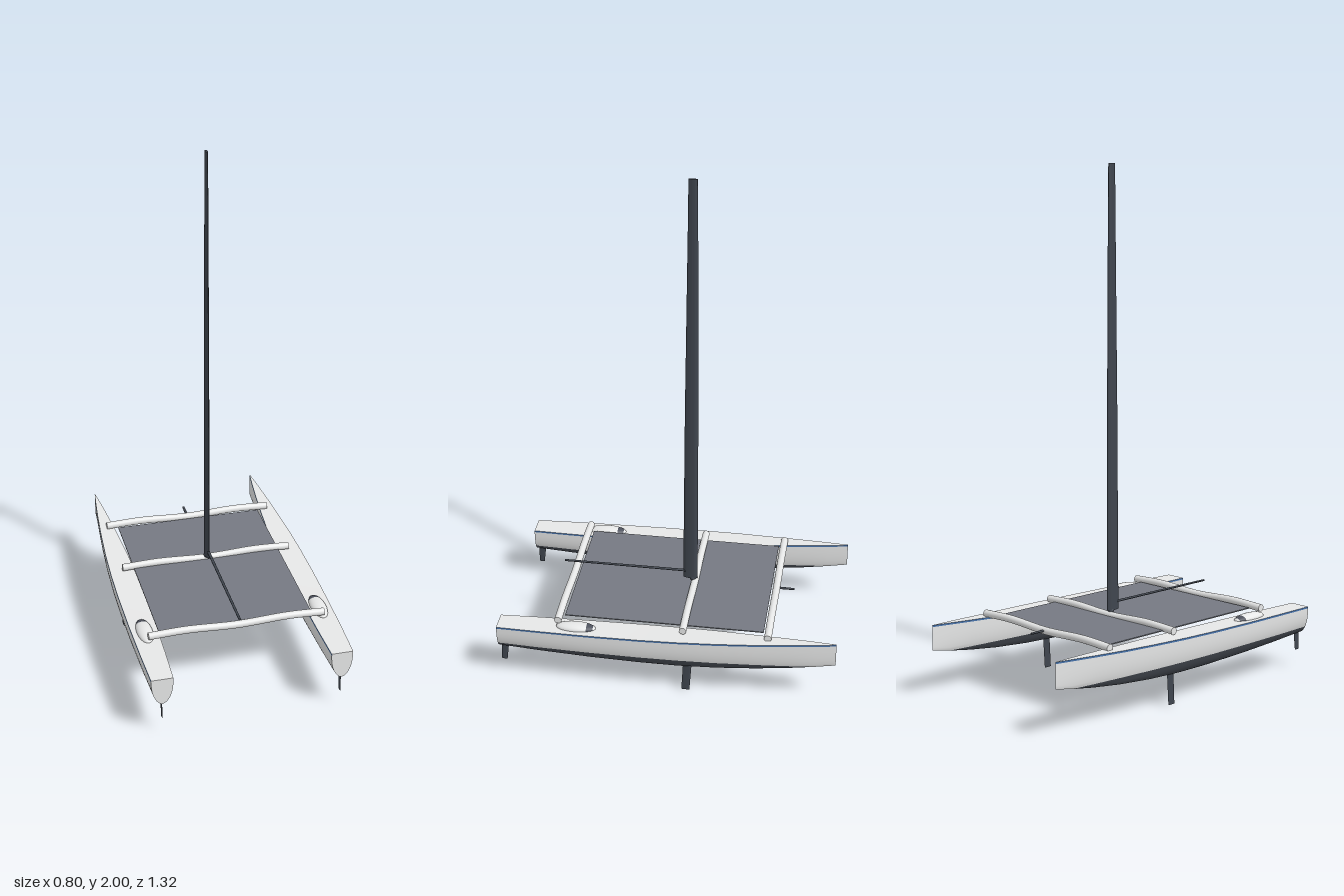
import * as THREE from 'three';
import { toCreasedNormals } from 'three/addons/utils/BufferGeometryUtils.js';

const mat = (name, color) => {
  const m = new THREE.MeshStandardMaterial({ color });
  m.name = name;
  return m;
};

// Skin a list of equal-length cross-sections
function loft(sections) {
  const n = sections[0].length, index = [];
  for (let i = 0; i < sections.length - 1; i++) {
    for (let j = 0; j < n - 1; j++) {
      const a = i * n + j, b = a + n;
      index.push(a, b, b + 1, a, b + 1, a + 1);
    }
  }
  const g = new THREE.BufferGeometry();
  g.setAttribute('position', new THREE.Float32BufferAttribute(sections.flat(2), 3));
  g.setIndex(index);
  return toCreasedNormals(g, 0.7);
}

// Closed teardrop foil through levels of [y, z centre, half thickness, half chord]
function foil(levels, sides = 24) {
  const ring = ([y, z, w, c]) => Array.from({ length: sides + 1 }, (_, k) => {
    const a = (k / sides) * Math.PI * 2;
    return [Math.cos(a) * w * (1 - 0.35 * Math.sin(a)), y, z + Math.sin(a) * c];
  });
  const first = levels[0], last = levels[levels.length - 1];
  return loft([[first[0], first[1], 0, 0], ...levels, [last[0], last[1], 0, 0]].map(ring));
}

// Hull stations: [z, half width, deck y, keel y]
const stations = [
  [0.66, 0.042, 0.25, 0.14], [0.5, 0.0475, 0.252, 0.13], [0.3, 0.0515, 0.254, 0.121],
  [0.1, 0.0525, 0.257, 0.116], [-0.05, 0.05, 0.26, 0.116], [-0.2, 0.044, 0.264, 0.122],
  [-0.35, 0.0335, 0.268, 0.134], [-0.48, 0.022, 0.273, 0.15], [-0.58, 0.0115, 0.277, 0.166],
  [-0.662, 0.0015, 0.28, 0.182],
];
const WATERLINE = 0.166, STRIPE = 0.007;

// Point on a station at height y, on the side s (-1 or 1)
const hullPoint = ([z, w, top, keel], y, s) => {
  const depth = Math.min(1, Math.max(0, (top - y) / (top - keel)));
  return [s * w * (1 - depth ** 2.6) ** 0.6, y, z];
};

// Row of points on one side between two heights, from the upper one down
const sideRow = (st, upper, lower, s, steps = 6) =>
  Array.from({ length: steps + 1 }, (_, k) => {
    const t = Math.sin((k / steps) * Math.PI / 2);
    return hullPoint(st, upper + (lower - upper) * t, s);
  });
const waterY = ([, , , keel]) => Math.max(WATERLINE, keel);

export function createModel() {
  const white = mat('hull white', 0xe6e7e7);
  const bottomGrey = mat('hull bottom grey', 0x454a52);
  const blue = mat('stripe blue', 0x4570a8);
  const carbon = mat('carbon', 0x3f454e);
  const net = mat('net grey', 0x757982);
  const glass = mat('hatch dark', 0x4c505b);
  const model = new THREE.Group();
  const add = (parent, name, geometry, material) => {
    const mesh = new THREE.Mesh(geometry, material);
    mesh.name = name;
    parent.add(mesh);
    return mesh;
  };

  // Two identical hulls with their stripes, pods and foils
  for (const side of [-1, 1]) {
    const hull = new THREE.Group();
    hull.name = side > 0 ? 'leftHull' : 'rightHull';
    hull.position.x = side * 0.345;
    model.add(hull);
    const skin = (name, material, section) => add(hull, name, loft(stations.map(section)), material);

    // Stripe under the deck edge and white topside on both flanks
    for (const s of [-1, 1]) {
      const band = (upper, lower) => (st) => {
        const row = sideRow(st, upper(st), lower(st), s);
        return s > 0 ? row.reverse() : row;
      };
      skin('stripe', blue, band((st) => st[2], (st) => st[2] - STRIPE));
      skin('topside', white, band((st) => st[2] - STRIPE, waterY));
    }
    // Dark bottom below the waterline
    skin('hullBottom', bottomGrey, (st) => [
      ...sideRow(st, waterY(st), st[3], -1),
      ...sideRow(st, waterY(st), st[3], 1).reverse().slice(1),
    ]);
    skin('deck', white, ([z, w, top]) => [[w, top, z], [-w, top, z]]);

    // Flat stern
    const st = stations[0];
    const stern = [...sideRow(st, st[2], st[3], -1, 14), ...sideRow(st, st[2], st[3], 1, 14).reverse().slice(1)];
    const sternShape = new THREE.Shape(stern.map(([x, y]) => new THREE.Vector2(x, y)));
    add(hull, 'transom', new THREE.ShapeGeometry(sternShape), white).position.z = st[0];

    // Streamlined pod with a dark band near its front
    const cuts = [[0, 0.5, white], [0.5, 0.98, glass], [0.98, Math.PI, white]];
    for (const [from, to, material] of cuts) {
      const g = new THREE.SphereGeometry(1, 24, 10, 0, Math.PI * 2, from, to - from);
      g.rotateX(-Math.PI / 2).scale(0.031, 0.019, 0.078);
      add(hull, material === glass ? 'podWindow' : 'pod', g, material).position.set(0, 0.254, 0.351);
    }

    // Daggerboard and rudder
    add(hull, 'daggerboard', foil([[0, -0.08, 0.0012, 0.016], [0.14, -0.088, 0.0015, 0.017]]), carbon);
    add(hull, 'rudder', foil([[0.07, 0.643, 0.0012, 0.011], [0.16, 0.636, 0.0015, 0.015]]), carbon);
  }

  // Gently bowed crossbeams
  for (const [name, z] of [['frontBeam', -0.398], ['mastBeam', -0.068], ['rearBeam', 0.422]]) {
    const curve = new THREE.CatmullRomCurve3([
      [-0.345, 0.279], [-0.2, 0.284], [0, 0.276], [0.2, 0.284], [0.345, 0.279],
    ].map(([x, y]) => new THREE.Vector3(x, y, z)));
    add(model, name, new THREE.TubeGeometry(curve, 40, 0.0145, 16), white);
    for (const s of [-1, 1]) {
      const cap = add(model, name + 'End', new THREE.CircleGeometry(0.0145, 16), white);
      cap.position.set(s * 0.345, 0.279, z);
      cap.rotation.y = s * Math.PI / 2;
    }
  }

  // Trampoline between the hulls
  add(model, 'trampoline', new THREE.BoxGeometry(0.6, 0.004, 0.78), net).position.set(0, 0.274, 0.012);

  // Tapered wing mast on a small ball
  add(model, 'mast', foil([
    [0.295, -0.05, 0.0095, 0.029], [1.05, -0.052, 0.0083, 0.026],
    [1.8, -0.054, 0.006, 0.019], [2, -0.054, 0.0045, 0.017],
  ]), carbon);
  add(model, 'mastFoot', new THREE.SphereGeometry(0.012, 16, 10), carbon).position.set(0, 0.293, -0.06);

  // Boom and bowsprit, slightly flattened
  const spar = (name, y, z0, z1, r0, r1) => {
    const g = new THREE.CylinderGeometry(r1, r0, z1 - z0, 14).rotateX(Math.PI / 2).scale(1, 0.75, 1);
    add(model, name, g, carbon).position.set(0, y, (z0 + z1) / 2);
  };
  spar('boom', 0.325, -0.05, 0.463, 0.006, 0.005);
  spar('bowsprit', 0.278, -0.47, -0.39, 0.005, 0.006);
  return model;
}
